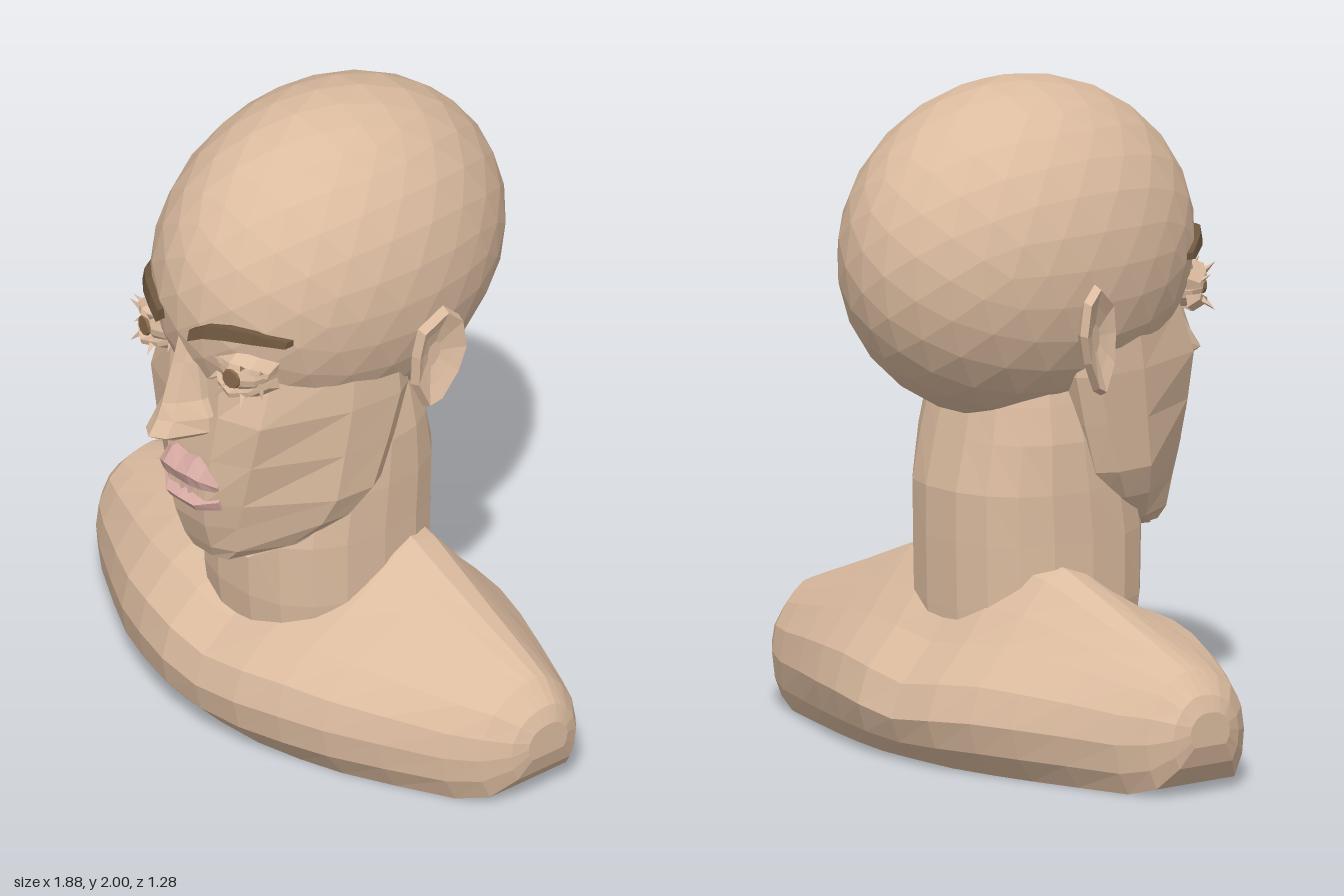
import * as THREE from 'three';

const mat = (name, color) => Object.assign(new THREE.MeshStandardMaterial({ color }), { name });

// Give a geometry hard facets
function facet(g) {
  const f = g.index ? g.toNonIndexed() : g;
  f.computeVertexNormals();
  return f;
}

// Closed skin through rings of [x, y, z] points, capped at both ends, always facing outward
function loft(rings) {
  const n = rings[0].length, pos = rings.flat(2), idx = [];
  const centre = r => [0, 1, 2].map(k => r.reduce((s, p) => s + p[k], 0) / n);
  pos.push(...centre(rings[0]), ...centre(rings.at(-1)));
  const c0 = rings.length * n, c1 = c0 + 1, last = (rings.length - 1) * n;
  for (let i = 0; i < n; i++) {
    const j = (i + 1) % n;
    for (let r = 0; r < last; r += n) idx.push(r + i, r + j, r + n + j, r + i, r + n + j, r + n + i);
    idx.push(c0, j, i, c1, last + i, last + j);
  }
  const v = i => new THREE.Vector3(...pos.slice(i * 3, i * 3 + 3));
  const origin = v(c0);
  let volume = 0;
  for (let t = 0; t < idx.length; t += 3) {
    const [a, b, c] = [0, 1, 2].map(k => v(idx[t + k]).sub(origin));
    volume += a.dot(b.cross(c));
  }
  if (volume < 0) idx.reverse();
  const g = new THREE.BufferGeometry();
  g.setAttribute('position', new THREE.Float32BufferAttribute(pos, 3));
  g.setIndex(idx);
  return facet(g);
}

const SKULL = { y: 1.49, z: -0.055, rx: 0.42, ry: 0.51, rz: 0.59 };
const skullZ = (x, y) => SKULL.z + SKULL.rz *
  Math.sqrt(Math.max(0, 1 - (x / SKULL.rx) ** 2 - ((y - SKULL.y) / SKULL.ry) ** 2));

export function createModel() {
  const model = new THREE.Group();
  model.name = 'bust';
  const skin = mat('skin', 0xdcbca0), lip = mat('lip', 0xd6a9a2);
  const brow = mat('brow', 0x6e573f), iris = mat('iris', 0x8a6a4c);
  const add = (name, geometry, material = skin, parent = model) => {
    const m = new THREE.Mesh(geometry, material);
    m.name = name;
    parent.add(m);
    return m;
  };

  // Skull
  const skull = new THREE.IcosahedronGeometry(1, 4);
  skull.scale(SKULL.rx, SKULL.ry, SKULL.rz).translate(0, SKULL.y, SKULL.z);
  add('skull', facet(skull));

  // Face and jaw: [y, half width, back z, front corner x, corner z, middle z]
  add('faceAndJaw', loft([
    [1.30, 0.35, -0.08, 0.24, 0.37, 0.46], [1.15, 0.355, -0.09, 0.245, 0.42, 0.47],
    [1.00, 0.345, -0.05, 0.21, 0.425, 0.485], [0.85, 0.335, 0.0, 0.17, 0.425, 0.495],
    [0.76, 0.295, 0.06, 0.145, 0.42, 0.48], [0.67, 0.21, 0.19, 0.13, 0.41, 0.45],
    [0.625, 0.12, 0.30, 0.09, 0.41, 0.43],
  ].map(([y, w, zb, xf, zc, zf]) => {
    const half = [[w * 0.9, zb], [w, zb + 0.06], [w * 0.97, zb * 0.45 + zc * 0.45], [xf, zc], [xf * 0.45, zf]];
    return [...half.map(([x, z]) => [x, y, z]), ...half.reverse().map(([x, z]) => [-x, y, z])];
  })));

  // Neck: [y, half width, front z, back z]
  add('neck', loft([
    [0.25, 0.29, 0.29, -0.33], [0.45, 0.305, 0.315, -0.34], [0.65, 0.305, 0.32, -0.345],
    [0.80, 0.305, 0.29, -0.345], [0.95, 0.30, 0.22, -0.31], [1.06, 0.28, 0.18, -0.285], [1.2, 0.25, 0.15, -0.25],
  ].map(([y, w, zf, zb]) => Array.from({ length: 18 }, (_, i) => {
    const a = i / 18 * Math.PI * 2, c = Math.cos(a), s = Math.sin(a);
    return [w * Math.sign(c) * Math.abs(c) ** 0.85, y, (zf + zb) / 2 + (zf - zb) / 2 * Math.sign(s) * Math.abs(s) ** 0.85];
  }))));

  // Shoulders: [x, front z, back z, base y, ridge y], mirrored across the middle
  const halfBody = [
    [0, 0.46, -0.53, 0, 0.62], [0.16, 0.45, -0.525, 0, 0.61], [0.31, 0.41, -0.49, 0, 0.58],
    [0.45, 0.355, -0.445, 0, 0.525], [0.6, 0.27, -0.385, 0, 0.465], [0.77, 0.165, -0.315, 0, 0.40],
    [0.86, 0.10, -0.27, 0.025, 0.365], [0.92, 0.03, -0.22, 0.09, 0.30], [0.94, -0.02, -0.17, 0.15, 0.25],
  ];
  // Section: [depth from back to front, height by the neck, height by the arm]
  const section = [[0.9, 0, 0], [0.98, 0.13, 0.2], [1, 0.27, 0.42], [0.97, 0.42, 0.63], [0.86, 0.55, 0.84], [0.72, 0.64, 0.95],
    [0.6, 0.78, 0.99], [0.5, 0.93, 1], [0.41, 1, 1], [0.32, 0.95, 0.98], [0.23, 0.74, 0.92],
    [0.15, 0.56, 0.84], [0.04, 0.38, 0.65], [0, 0.22, 0.42], [0.03, 0.1, 0.18], [0.1, 0, 0]];
  const body = [...halfBody.slice(1).reverse().map(([x, ...r]) => [-x, ...r]), ...halfBody];
  add('shoulders', loft(body.map(([x, zf, zb, y0, h]) => section.map(([u, f, g]) =>
    [x, y0 + (h - y0) * THREE.MathUtils.lerp(f, g, Math.abs(x) / 0.94), zb + (zf - zb) * u]))));

  // Nose: [y, half width, ridge z]
  add('nose', loft([
    [1.44, 0.035, 0.515], [1.32, 0.045, 0.55], [1.2, 0.065, 0.59], [1.15, 0.095, 0.61],
    [1.105, 0.1, 0.642], [1.085, 0.075, 0.61], [1.05, 0.02, 0.545],
  ].map(([y, w, z]) => [[-w, 0.42], [-w, 0.49], [-w * 0.45, z - 0.03], [0, z], [w * 0.45, z - 0.03], [w, 0.49], [w, 0.42]]
    .map(([x, d]) => [x, y, d]))));

  // Lips: [x, top y, bottom y, front z]
  const lipLoft = half => loft([...half.slice(1).reverse().map(([x, ...r]) => [-x, ...r]), ...half]
    .map(([x, t, b, z]) => [[x, t, 0.44], [x, t, z - 0.035], [x, (t + b) / 2, z], [x, b, z - 0.015], [x, b, 0.44]]));
  add('upperLip', lipLoft([[0, 0.985, 0.91, 0.54], [0.05, 0.995, 0.91, 0.54], [0.085, 0.975, 0.905, 0.525], [0.12, 0.94, 0.89, 0.48]]), lip);
  add('lowerLip', lipLoft([[0, 0.868, 0.825, 0.525], [0.06, 0.868, 0.82, 0.52], [0.12, 0.895, 0.83, 0.475]]), lip);

  // Ridges between the lips
  for (let i = 0; i < 6; i++) {
    const ridge = new THREE.CylinderGeometry(0.017, 0.012, 0.06, 4);
    ridge.translate((i - 2.5) * 0.033, 0.89, 0.495 - Math.abs(i - 2.5) * 0.008);
    add('mouthRidge', facet(ridge), lip);
  }

  for (const s of [1, -1]) {
    const side = s > 0 ? 'left' : 'right';

    // Ear: outline in [z, y], rings run from the back over the rim into the hollow
    const outline = [[-0.07, 1.11], [-0.03, 1.2], [-0.03, 1.3], [-0.045, 1.39], [-0.12, 1.455], [-0.17, 1.41],
      [-0.185, 1.31], [-0.16, 1.22], [-0.11, 1.13]];
    add(side + 'Ear', loft([[0.65, -0.05], [1, -0.012], [0.92, 0.018], [0.6, 0], [0.25, -0.015]].map(([k, out]) =>
      outline.map(([z, y]) => {
        const dz = (z + 0.1) * k, dy = (y - 1.29) * k;
        return [s * (0.437 + out - dz * 0.3 + dy * 0.05), 1.29 + dy, -0.1 + dz];
      }))));

    // Eyebrow: [x, y, half thickness]
    add(side + 'Brow', loft([[0.07, 1.45, 0.018], [0.12, 1.478, 0.02], [0.18, 1.487, 0.02],
      [0.24, 1.478, 0.017], [0.305, 1.452, 0.01]].map(([x, y, h]) => {
      const z = skullZ(x, y);
      return [[s * x, y + h, z - 0.05], [s * x, y + h, z + 0.02], [s * x, y - h, z + 0.028], [s * x, y - h, z - 0.05]];
    })), brow);

    // Eyeball and iris
    const eye = new THREE.Group();
    eye.name = side + 'Eye';
    eye.position.set(s * 0.18, 1.335, 0.42);
    eye.rotation.y = s * 0.2;
    model.add(eye);
    const ball = new THREE.SphereGeometry(0.07, 10, 8);
    add('eyeball', facet(ball.scale(1.15, 0.85, 1)), skin, eye);
    const disc = new THREE.CylinderGeometry(0.03, 0.032, 0.008, 10);
    add('iris', facet(disc.rotateX(Math.PI / 2).translate(0, 0, 0.071)), iris, eye);

    // Eyelids and lashes
    for (const v of [1, -1]) {
      const arc = [-1, -0.6, 0, 0.6, 1].map(t => [t * 0.095, v * (0.008 + 0.036 * (1 - t * t)), 0.085 - 0.065 * t * t]);
      add(v > 0 ? 'upperLid' : 'lowerLid', loft(arc.map(([x, y, z]) =>
        [[x, y, z - 0.05], [x, y, z], [x * 1.03, y + v * 0.016, z - 0.005], [x * 1.08, y + v * 0.035, z - 0.05]])), skin, eye);
      for (const t of [-0.85, -0.4, 0.4, 0.85]) {
        const dir = new THREE.Vector3(t * 0.9, v * 0.7, 0.7).normalize();
        const lash = add('lash', facet(new THREE.ConeGeometry(0.013, 0.05, 3)), skin, eye);
        lash.quaternion.setFromUnitVectors(new THREE.Vector3(0, 1, 0), dir);
        lash.position.set(t * 0.09, v * (0.016 + 0.036 * (1 - t * t)), 0.075 - 0.065 * t * t).addScaledVector(dir, 0.015);
      }
    }
  }
  return model;
}
